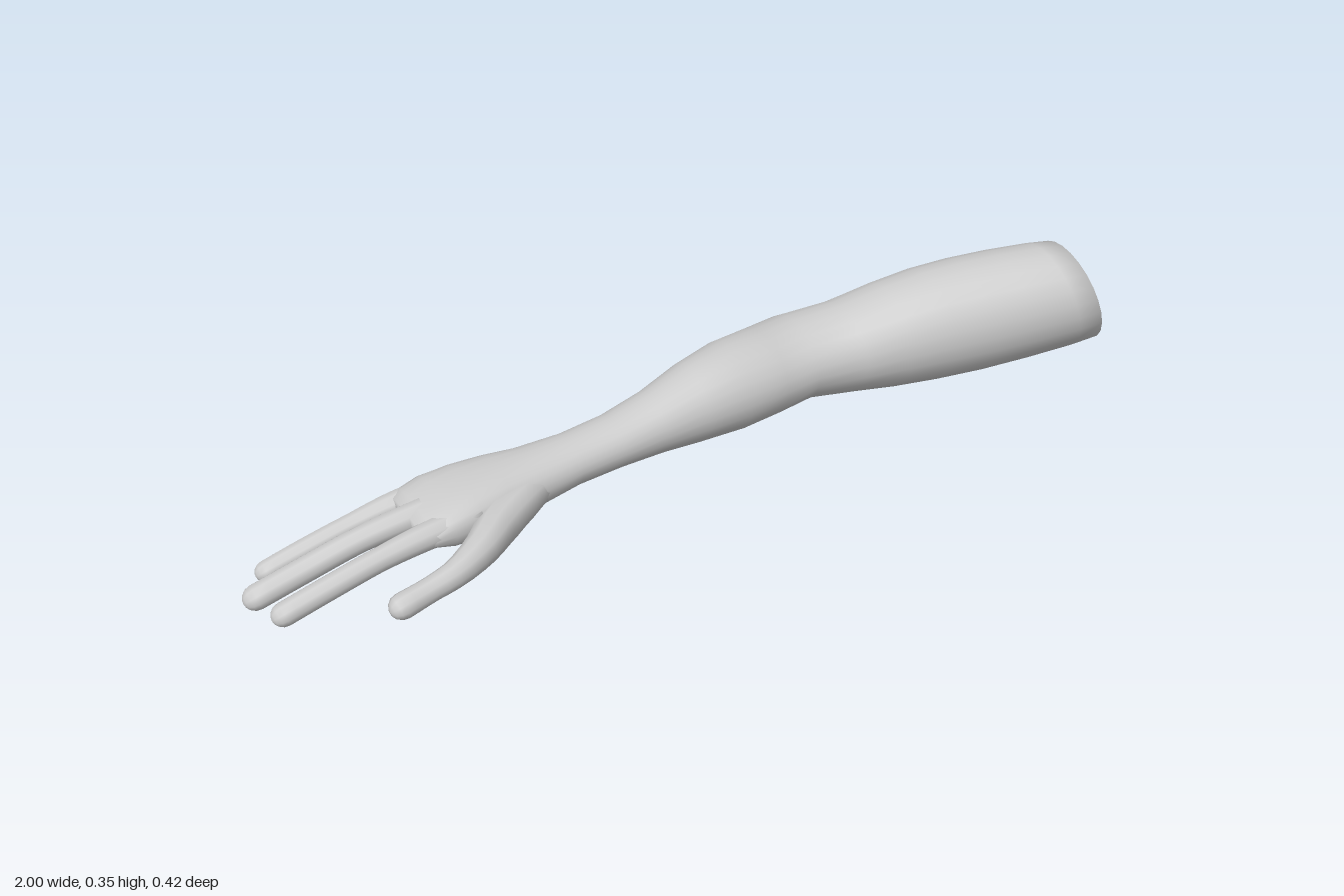
import * as THREE from 'three';

const material = new THREE.MeshStandardMaterial({ color: 0xcccccc });

// Skin a list of closed rings (arrays of Vector3) that run along the ring normal
function loft(name, rings) {
  const n = rings[0].length, pos = [], index = [];
  for (const ring of rings) for (const p of ring) pos.push(p.x, p.y, p.z);
  for (let i = 0; i < rings.length - 1; i++) {
    for (let j = 0; j < n; j++) {
      const a = i * n + j, b = i * n + (j + 1) % n;
      index.push(a, b, a + n, b, b + n, a + n);
    }
  }
  const geo = new THREE.BufferGeometry();
  geo.setAttribute('position', new THREE.Float32BufferAttribute(pos, 3));
  geo.setIndex(index);
  geo.computeVertexNormals();
  const mesh = new THREE.Mesh(geo, material);
  mesh.name = name;
  return mesh;
}

// Cross-sections from knuckles to upper arm: x, top, bottom, back, front
const sections = [
  [-0.665, 0.135, 0.095, -0.1, 0.07],
  [-0.645, 0.147, 0.084, -0.115, 0.083],
  [-0.6, 0.163, 0.068, -0.124, 0.086],
  [-0.54, 0.173, 0.06, -0.122, 0.078],
  [-0.47, 0.178, 0.06, -0.114, 0.064],
  [-0.4, 0.18, 0.066, -0.1, 0.048],
  [-0.3, 0.187, 0.083, -0.09, 0.037],
  [-0.2, 0.198, 0.088, -0.097, 0.032],
  [-0.1, 0.22, 0.085, -0.115, 0.03],
  [0, 0.25, 0.077, -0.145, 0.035],
  [0.1, 0.269, 0.074, -0.17, 0.04],
  [0.2, 0.263, 0.077, -0.195, 0.028],
  [0.29, 0.262, 0.08, -0.212, 0.013],
  [0.4, 0.28, 0.075, -0.187, 0.037],
  [0.5, 0.308, 0.069, -0.175, 0.065],
  [0.6, 0.327, 0.067, -0.165, 0.09],
  [0.7, 0.339, 0.071, -0.148, 0.115],
  [0.8, 0.348, 0.083, -0.122, 0.14],
  [0.9, 0.354, 0.1, -0.09, 0.165],
  [0.955, 0.351, 0.11, -0.075, 0.172],
];

// Ring of one section; the hand is squarer, the upper arm leans toward its slanted cut
function sectionRing([x, top, bottom, back, front], scale = 1) {
  const lean = THREE.MathUtils.smoothstep(x, 0.5, 0.95);
  const power = THREE.MathUtils.lerp(0.78, 1, THREE.MathUtils.smoothstep(x, -0.6, -0.3));
  const bend = (t) => Math.sign(t) * Math.abs(t) ** power;
  const ring = [];
  for (let j = 0; j < 24; j++) {
    const a = j / 24 * Math.PI * 2;
    const dy = bend(Math.cos(a)) * scale * (top - bottom) / 2;
    const dz = bend(Math.sin(a)) * scale * (front - back) / 2;
    ring.push(new THREE.Vector3(
      x - lean * (0.33 * dy + 0.12 * dz), (top + bottom) / 2 + dy, (back + front) / 2 + dz));
  }
  return ring;
}

// Rounded digit along a curve; each point is x, y, z, radius
function digit(name, points, flatness = 1) {
  const curve = new THREE.CatmullRomCurve3(points.map((p) => new THREE.Vector3(p[0], p[1], p[2])));
  const steps = 16, sides = 10, rings = [];
  const addRing = (t, scale, push) => {
    const f = t * (points.length - 1), k = Math.min(Math.floor(f), points.length - 2);
    const r = THREE.MathUtils.lerp(points[k][3], points[k + 1][3], f - k);
    const T = curve.getTangent(t), U = new THREE.Vector3(0, 1, 0).cross(T).normalize();
    const V = T.clone().cross(U), c = curve.getPoint(t).addScaledVector(T, push * r);
    rings.push(Array.from({ length: sides }, (_, j) => {
      const a = j / sides * Math.PI * 2;
      return c.clone().addScaledVector(U, Math.cos(a) * r * scale)
        .addScaledVector(V, Math.sin(a) * r * scale * flatness);
    }));
  };
  addRing(0, 0.01, -0.3);
  for (let i = 0; i <= steps; i++) addRing(i / steps, 1, 0);
  // Domed fingertip
  for (const a of [0.45, 0.9, 1.25, 1.56]) addRing(1, Math.cos(a), Math.sin(a));
  return loft(name, rings);
}

export function createModel() {
  const group = new THREE.Group();
  group.name = 'arm';

  // Palm, forearm and upper arm in one skin, closed at the knuckles and the cut
  const first = sections[0], last = sections[sections.length - 1];
  group.add(loft('armAndPalm', [
    sectionRing(first, 0.01),
    ...sections.map((s) => sectionRing(s)),
    sectionRing(last, 0.65),
    sectionRing(last, 0.01),
  ]));

  // Three fingers drooping toward the tips
  group.add(digit('outerFinger', [
    [-0.54, 0.12, -0.078, 0.034], [-0.65, 0.107, -0.094, 0.029],
    [-0.75, 0.083, -0.103, 0.024], [-0.85, 0.053, -0.11, 0.024], [-0.927, 0.029, -0.114, 0.023],
  ]));
  group.add(digit('middleFinger', [
    [-0.54, 0.128, -0.015, 0.036], [-0.65, 0.12, -0.017, 0.03],
    [-0.76, 0.1, -0.023, 0.027], [-0.87, 0.068, -0.028, 0.027], [-0.974, 0.038, -0.03, 0.027],
  ]));
  group.add(digit('innerFinger', [
    [-0.54, 0.122, 0.046, 0.034], [-0.65, 0.117, 0.055, 0.029],
    [-0.75, 0.102, 0.06, 0.025], [-0.86, 0.076, 0.064, 0.025], [-0.95, 0.051, 0.065, 0.025],
  ]));

  // Thumb growing out of the side of the palm
  group.add(digit('thumb', [
    [-0.36, 0.122, -0.005, 0.03], [-0.44, 0.117, 0.035, 0.042], [-0.51, 0.109, 0.078, 0.044],
    [-0.57, 0.104, 0.129, 0.036], [-0.64, 0.094, 0.165, 0.028],
    [-0.7, 0.083, 0.175, 0.025], [-0.757, 0.072, 0.181, 0.027],
  ]));
  return group;
}
